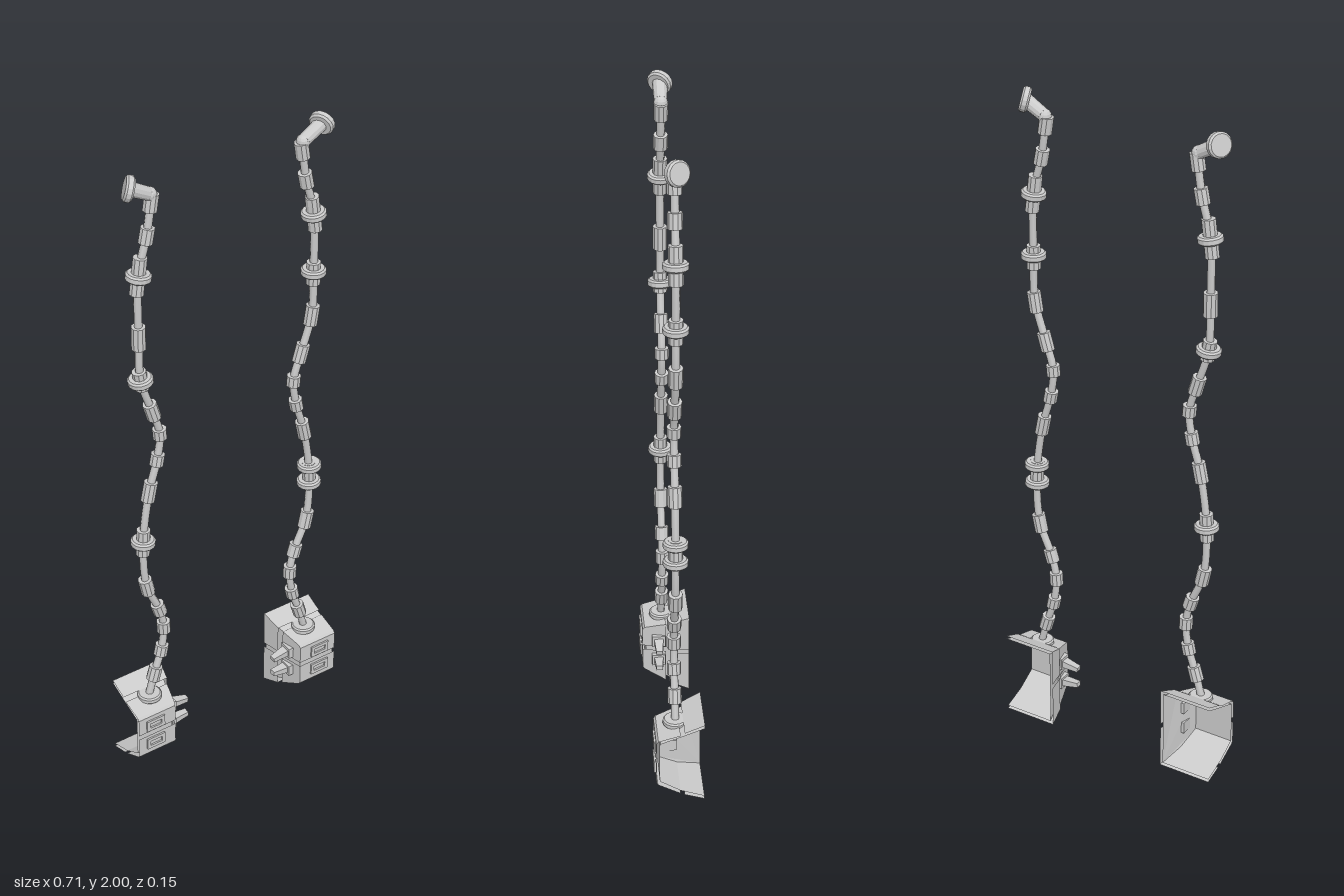
import * as THREE from 'three';

const mat = new THREE.MeshStandardMaterial({ color: 0xcccccc, flatShading: true });
const sheet = new THREE.MeshStandardMaterial({ color: 0xcccccc, flatShading: true, side: THREE.DoubleSide });
const smooth = new THREE.MeshStandardMaterial({ color: 0xcccccc });
const UP = new THREE.Vector3(0, 1, 0);
const CABLE_Z = 0.01;

// Cable path on the +x side: x, y, sleeve length (0 = none)
const PATH = [
  [0.24, 1.905, 0.05], [0.255, 1.81, 0.045], [0.283, 1.695, 0.11], [0.287, 1.502, 0.07],
  [0.284, 1.364, 0.06], [0.25, 1.248, 0.055], [0.226, 1.163, 0.032], [0.236, 1.078, 0.035],
  [0.264, 0.978, 0.06], [0.288, 0.808, 0.085], [0.28, 0.644, 0.055], [0.241, 0.543, 0.04],
  [0.225, 0.469, 0.038], [0.235, 0.384, 0.035], [0.26, 0.305, 0.045], [0.282, 0.225, 0],
];

function add(group, name, geometry, material = mat) {
  const mesh = new THREE.Mesh(geometry, material);
  mesh.name = name;
  group.add(mesh);
  return mesh;
}

// Cylinder centred on a point and aligned with a direction
function rod(group, name, center, dir, length, r0, r1 = r0, sides = 10) {
  const mesh = add(group, name, new THREE.CylinderGeometry(r1, r0, length, sides));
  mesh.position.copy(center);
  mesh.quaternion.setFromUnitVectors(UP, dir.clone().normalize());
  return mesh;
}

// Disc with chamfered rims
function disc(group, name, center, dir, r, h) {
  const c = h * 0.22;
  const pts = [[0, -h / 2], [r - c, -h / 2], [r, -h / 2 + c], [r, h / 2 - c], [r - c, h / 2], [0, h / 2]];
  const mesh = add(group, name, new THREE.LatheGeometry(pts.map(p => new THREE.Vector2(...p)), 16));
  mesh.position.copy(center);
  mesh.quaternion.setFromUnitVectors(UP, dir.clone().normalize());
}

// Inner edge of the housing narrows toward the front
const innerX = z => (z < -0.005 ? 0.204 + (z + 0.005) * 0.21 : 0.211 + z * 0.24);

// Sheet swept from inner edge to open outer side, closed by a wall on the inner side
function panel(group, name, s, profile, wall, inset = 0) {
  const pos = [];
  const put = (x, [z, y]) => pos.push(s * x, y, z);
  for (let i = 0; i + 1 < profile.length; i++) {
    const a = profile[i], b = profile[i + 1];
    const xa = innerX(a[0]) + inset, xb = innerX(b[0]) + inset, o = 0.356;
    put(xa, a); put(o, a); put(o, b);
    put(xa, a); put(o, b); put(xb, b);
  }
  const poly = profile.concat(wall);
  const tris = THREE.ShapeUtils.triangulateShape(poly.map(p => new THREE.Vector2(...p)), []);
  for (const t of tris) for (const k of t) put(innerX(poly[k][0]) + inset, poly[k]);
  const g = new THREE.BufferGeometry();
  g.setAttribute('position', new THREE.Float32BufferAttribute(pos, 3));
  g.computeVertexNormals();
  add(group, name, g, sheet);
}

function frameGeometry(w, h, border, depth) {
  const rect = (T, a, b) => new T([[-a, -b], [a, -b], [a, b], [-a, b]].map(p => new THREE.Vector2(...p)));
  const shape = rect(THREE.Shape, w / 2, h / 2);
  shape.holes.push(rect(THREE.Path, w / 2 - border, h / 2 - border));
  return new THREE.ExtrudeGeometry(shape, { depth, bevelEnabled: false });
}

function createHousing(s) {
  const g = new THREE.Group();
  g.name = 'housing';
  // Four outer panels split by a cross of grooves
  panel(g, 'rearUpperPanel', s, [[-0.07, 0.262], [-0.012, 0.238]], [[-0.012, 0.145], [-0.07, 0.145]]);
  panel(g, 'rearLowerPanel', s, [[-0.07, 0], [-0.012, 0.018]], [[-0.012, 0.131], [-0.07, 0.131]]);
  panel(g, 'frontUpperPanel', s,
    [[0, 0.229], [0.03, 0.221], [0.064, 0.211], [0.07, 0.203], [0.07, 0.145]], [[0, 0.145]]);
  panel(g, 'frontLowerPanel', s,
    [[0, 0.023], [0.066, 0.058], [0.07, 0.066], [0.07, 0.131]], [[0, 0.131]]);
  // Recessed liner behind the grooves
  panel(g, 'liner', s, [[-0.07, 0.252], [-0.012, 0.229], [0.058, 0.203], [0.06, 0.197],
    [0.06, 0.07], [0.0, 0.034], [-0.07, 0.01]], [], 0.009);

  for (const [y, tipY] of [[0.17, 0.161], [0.101, 0.106]]) {
    // Framed window on the front face
    const frame = add(g, 'windowFrame', frameGeometry(0.062, 0.038, 0.011, 0.008));
    frame.position.set(s * 0.298, y, 0.067);
    // Prong and its square socket on the inner wall
    const socket = add(g, 'prongSocket', new THREE.BoxGeometry(0.022, 0.036, 0.04));
    socket.position.set(s * 0.217, y, 0.022);
    const base = new THREE.Vector3(s * 0.215, y, 0.021), tip = new THREE.Vector3(s * 0.157, tipY, 0.023);
    const dir = tip.clone().sub(base);
    const prong = new THREE.CylinderGeometry(0.0135, 0.021, dir.length(), 4);
    prong.rotateY(Math.PI / 4);
    prong.scale(0.75, 1, 1);
    const mesh = add(g, 'prong', prong);
    mesh.position.copy(base).lerp(tip, 0.5);
    mesh.quaternion.setFromUnitVectors(UP, dir.normalize());
  }
  // Collar where the cable enters
  disc(g, 'collar', new THREE.Vector3(s * 0.279, 0.228, CABLE_Z), UP, 0.036, 0.02);
  return g;
}

function createCable(s, rings) {
  const g = new THREE.Group();
  g.name = 'cable';
  const points = PATH.map(([x, y]) => new THREE.Vector3(s * x, y, CABLE_Z));
  const curve = new THREE.CatmullRomCurve3(points);
  add(g, 'wire', new THREE.TubeGeometry(curve, 90, 0.0115, 8), smooth);

  // Sleeves along the wire
  PATH.forEach(([, , length], i) => {
    if (length) rod(g, 'sleeve', points[i], curve.getTangent(i / (PATH.length - 1)), length, 0.0205);
  });
  // Rings: path index, height
  for (const [i, y] of rings) {
    const c = points[i].clone().setY(y);
    disc(g, 'ring', c, curve.getTangent(i / (PATH.length - 1)), 0.036, 0.023);
  }

  // Elbow, barrel and knob at the upper end
  const elbow = new THREE.Vector3(s * 0.243, 1.93, CABLE_Z);
  const knob = new THREE.Vector3(s * 0.305, 1.965, 0.008);
  const joint = add(g, 'elbow', new THREE.SphereGeometry(0.02, 12, 8));
  joint.position.copy(elbow);
  const dir = knob.clone().sub(elbow);
  rod(g, 'barrel', elbow.clone().lerp(knob, 0.55), dir, dir.length() * 0.9, 0.019, 0.021, 12);
  disc(g, 'knob', knob, new THREE.Vector3(s * 0.83, 0.25, -0.47), 0.036, 0.024);
  return g;
}

export function createModel() {
  const model = new THREE.Group();
  const sides = [
    ['left', 1, [[2, 1.693], [3, 1.507], [9, 0.838], [9, 0.779]]],
    ['right', -1, [[2, 1.693], [4, 1.362], [9, 0.808]]],
  ];
  for (const [name, s, rings] of sides) {
    const unit = new THREE.Group();
    unit.name = name + 'Unit';
    unit.add(createHousing(s), createCable(s, rings));
    model.add(unit);
  }
  return model;
}
